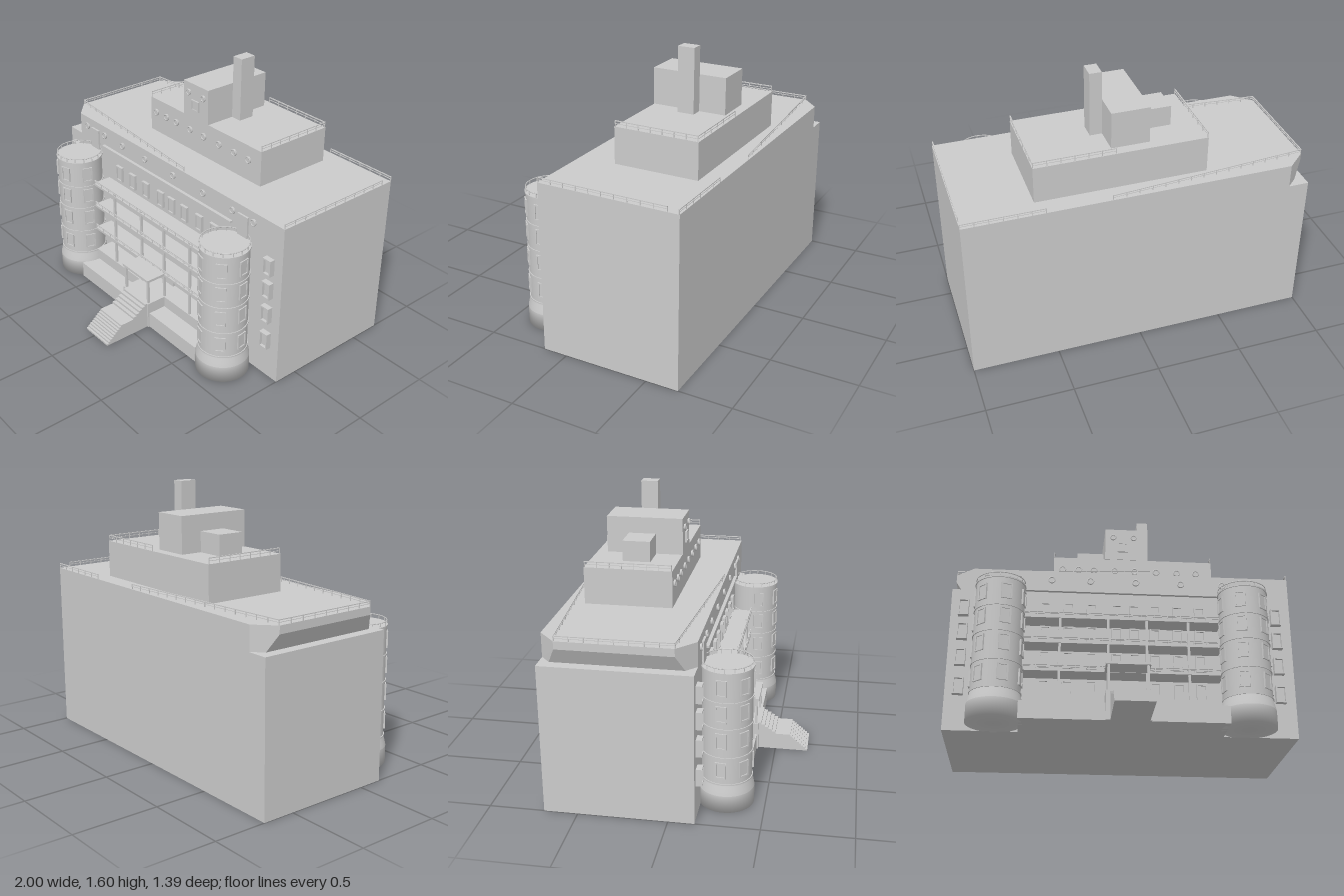
import * as THREE from 'three';
import { ConvexGeometry } from 'three/addons/geometries/ConvexGeometry.js';

const mat = new THREE.MeshStandardMaterial({ color: 0xcccccc });
const V = (x, y, z) => new THREE.Vector3(x, y, z);

function add(parent, name, geo, x = 0, y = 0, z = 0) {
  const m = new THREE.Mesh(geo, mat);
  m.name = name;
  m.position.set(x, y, z);
  parent.add(m);
  return m;
}

// Box given by its limits on each axis
function box(parent, name, x0, x1, y0, y1, z0, z1) {
  return add(parent, name, new THREE.BoxGeometry(x1 - x0, y1 - y0, z1 - z0),
    (x0 + x1) / 2, (y0 + y1) / 2, (z0 + z1) / 2);
}

function group(parent, name) {
  const g = new THREE.Group();
  g.name = name;
  parent.add(g);
  return g;
}

// Straight railing from (x0,z0) to (x1,z1): two bars and evenly spaced posts
function railing(parent, name, x0, z0, x1, z1, y, h = 0.03, gap = 0.075) {
  const g = group(parent, name);
  const len = Math.hypot(x1 - x0, z1 - z0);
  g.position.set(x0, y, z0);
  g.rotation.y = -Math.atan2(z1 - z0, x1 - x0);
  box(g, 'topBar', 0, len, h - 0.005, h, -0.003, 0.003);
  box(g, 'midBar', 0, len, h * 0.45, h * 0.45 + 0.003, -0.002, 0.002);
  const n = Math.max(1, Math.round(len / gap));
  for (let i = 0; i <= n; i++) {
    const x = (len * i) / n;
    box(g, 'post', x - 0.002, x + 0.002, 0, h, -0.002, 0.002);
  }
  return g;
}

// Framed window facing +z, its back at z = 0
function windowUnit(parent, w, h, depth = 0.02) {
  const g = group(parent, 'window');
  const rect = (C, a, b) => {
    const s = new C();
    s.moveTo(-a, -b); s.lineTo(a, -b); s.lineTo(a, b); s.lineTo(-a, b); s.closePath();
    return s;
  };
  const frame = rect(THREE.Shape, w / 2, h / 2);
  frame.holes.push(rect(THREE.Path, w / 2 - 0.008, h / 2 - 0.008));
  add(g, 'frame', new THREE.ExtrudeGeometry(frame, { depth, bevelEnabled: false }));
  box(g, 'pane', -w / 2 + 0.004, w / 2 - 0.004, -h / 2 + 0.004, h / 2 - 0.004, 0, depth * 0.5);
  return g;
}

// Round window with a raised rim
function porthole(parent, x, y, z, r = 0.022) {
  const g = group(parent, 'porthole');
  g.position.set(x, y, z);
  add(g, 'rim', new THREE.TorusGeometry(r - 0.004, 0.004, 8, 24), 0, 0, 0.008);
  add(g, 'glass', new THREE.CylinderGeometry(r - 0.002, r - 0.002, 0.016, 24)).rotation.x = Math.PI / 2;
}

const ROWS = [0.255, 0.43, 0.59, 0.74];
const WALL = 0.145;

// Round stair tower; side is -1 or +1
function tower(parent, cx, side) {
  const g = group(parent, side > 0 ? 'leftTower' : 'rightTower');
  g.position.set(cx, 0, 0.28);
  const profile = [[0, 0], [0.155, 0], [0.155, 0.1], [0.155, 0.1], [0.15, 0.125], [0.143, 0.15], [0.14, 0.165],
    [0.14, 0.165], [0.14, 0.82], [0.14, 0.82], [0, 0.82]].map(p => new THREE.Vector2(...p));
  add(g, 'shaft', new THREE.LatheGeometry(profile, 48));
  for (const y of [0.165, 0.325, 0.495, 0.65, 0.82]) {
    add(g, 'band', new THREE.CylinderGeometry(0.145, 0.145, 0.008, 48), 0, y, 0);
  }
  add(g, 'roofRail', new THREE.TorusGeometry(0.139, 0.003, 6, 48), 0, 0.848, 0).rotation.x = Math.PI / 2;
  for (let i = 0; i < 16; i++) {
    const a = (i / 16) * Math.PI * 2;
    add(g, 'railPost', new THREE.BoxGeometry(0.004, 0.03, 0.004),
      0.139 * Math.sin(a), 0.835, 0.139 * Math.cos(a));
  }
  for (const y of ROWS) {
    for (const deg of [-75, -17, 42, 97]) {
      const a = THREE.MathUtils.degToRad(deg) * side;
      const w = windowUnit(g, 0.062, 0.095, 0.012);
      w.position.set(0.134 * Math.sin(a), y - 0.005, 0.134 * Math.cos(a));
      w.rotation.y = a;
    }
  }
  // Door from the main block onto the tower roof
  box(parent, 'towerRoofDoor', cx - 0.04, cx + 0.04, 0.82, 0.955, WALL - 0.01, 0.157);
}

export function createModel() {
  const root = new THREE.Group();
  root.name = 'building';

  // Main block with a bow-shaped overhang at one end of the top floor
  box(root, 'mainBlock', -1, 1, 0, 0.865, -0.69, WALL);
  box(root, 'topFloor', -0.88, 1, 0.865, 1.005, -0.69, WALL);
  const bow = [];
  for (const [y, x, inset] of [[1.005, -0.99, 0.1], [0.96, -0.99, 0.1], [0.866, -0.94, 0.055]]) {
    bow.push(V(-0.88, y, WALL), V(x, y, WALL - inset), V(x, y, -0.69 + inset), V(-0.88, y, -0.69));
  }
  add(root, 'bow', new ConvexGeometry(bow));

  // Roof railings
  railing(root, 'roofRail', -0.985, 0.045, 0.17, 0.14, 1.005);
  railing(root, 'roofRail', -0.985, -0.59, 0.17, -0.685, 1.005);
  railing(root, 'roofRail', -0.985, 0.045, -0.985, -0.59, 1.005);
  railing(root, 'roofRail', 0.995, 0.14, 0.995, -0.62, 1.005);
  railing(root, 'roofRail', 0.54, -0.687, 1, -0.687, 1.005);

  // Upper deck, bridge, side cabin and chimney
  box(root, 'upperDeck', -0.41, 0.58, 1, 1.22, -0.58, -0.075);
  box(root, 'bridge', -0.09, 0.13, 1.22, 1.435, -0.52, -0.072);
  box(root, 'sideCabin', -0.26, -0.09, 1.22, 1.34, -0.39, -0.23);
  box(root, 'chimney', 0.13, 0.2, 1.22, 1.6, -0.36, -0.26);
  railing(root, 'deckRail', -0.407, -0.08, -0.407, -0.575, 1.22, 0.035);
  railing(root, 'deckRail', 0.577, -0.08, 0.577, -0.575, 1.22, 0.035);
  railing(root, 'deckRail', 0.12, -0.575, 0.577, -0.575, 1.22, 0.035);

  // Portholes and bridge window
  for (const x of [-0.8, -0.61, -0.42, -0.19, 0.08, 0.35, 0.6, 0.77]) porthole(root, x, 0.945, WALL);
  for (const x of [-0.355, -0.255, -0.16, -0.03, 0.095, 0.23, 0.36, 0.48]) porthole(root, x, 1.135, -0.075);
  for (const x of [-0.04, 0.09]) porthole(root, x, 1.375, -0.072, 0.02);
  windowUnit(root, 0.065, 0.065, 0.01).position.set(0.02, 1.305, -0.072);
  box(root, 'ledge', -0.62, 0.6, 0.866, 0.878, WALL, 0.165);

  // Facade windows: outer columns and the bays between the towers
  for (const y of ROWS) {
    for (const x of [-0.925, 0.91]) windowUnit(root, 0.06, 0.1, 0.033).position.set(x, y, WALL);
    for (const x of [-0.45, -0.315, -0.18, -0.035, 0.07, 0.19, 0.325, 0.455]) {
      if (y === ROWS[0] && Math.abs(x) < 0.1) continue;
      windowUnit(root, 0.06, 0.1, 0.018).position.set(x, y, WALL);
    }
  }

  tower(root, -0.71, -1);
  tower(root, 0.69, 1);

  // Terrace and balconies
  box(root, 'lowerTerrace', -0.58, 0.57, 0, 0.1, WALL, 0.385);
  box(root, 'upperTerrace', -0.58, 0.57, 0, 0.17, WALL, 0.27);
  for (const y of [0.32, 0.49, 0.645]) {
    box(root, 'balconySlab', -0.58, 0.56, y, y + 0.014, WALL, 0.27);
    railing(root, 'balconyRail', -0.57, 0.267, 0.55, 0.267, y + 0.014, 0.025);
  }
  for (const x of [-0.365, -0.09, 0.13, 0.37]) {
    box(root, 'balconyColumn', x - 0.007, x + 0.007, 0.17, 0.67, 0.253, 0.267);
  }

  // Entrance porch with canopy
  box(root, 'porch', -0.11, 0.14, 0, 0.17, 0.27, 0.395);
  box(root, 'canopy', -0.11, 0.14, 0.322, 0.338, 0.26, 0.395);
  for (const x of [-0.095, 0.125]) box(root, 'canopyPost', x - 0.007, x + 0.007, 0.17, 0.322, 0.373, 0.387);
  box(root, 'entranceDoor', -0.06, 0.09, 0.17, 0.3, WALL, 0.16);

  // Two flights of stairs with a landing between them
  const stairs = new THREE.Shape();
  stairs.moveTo(0.39, 0);
  stairs.lineTo(0.39, 0.17);
  const flight = (z0, z1, y0, y1, n) => {
    for (let i = 0; i < n; i++) {
      const z = z0 + ((z1 - z0) * i) / n;
      stairs.lineTo(z, y0 + ((y1 - y0) * i) / n);
      stairs.lineTo(z, y0 + ((y1 - y0) * (i + 1)) / n);
    }
  };
  flight(0.41, 0.52, 0.17, 0.1, 5);
  flight(0.59, 0.71, 0.1, 0, 9);
  const stairGeo = new THREE.ExtrudeGeometry(stairs, { depth: 0.215, bevelEnabled: false });
  stairGeo.rotateY(-Math.PI / 2);
  add(root, 'stairs', stairGeo, 0.13, 0, 0);

  return root;
}
